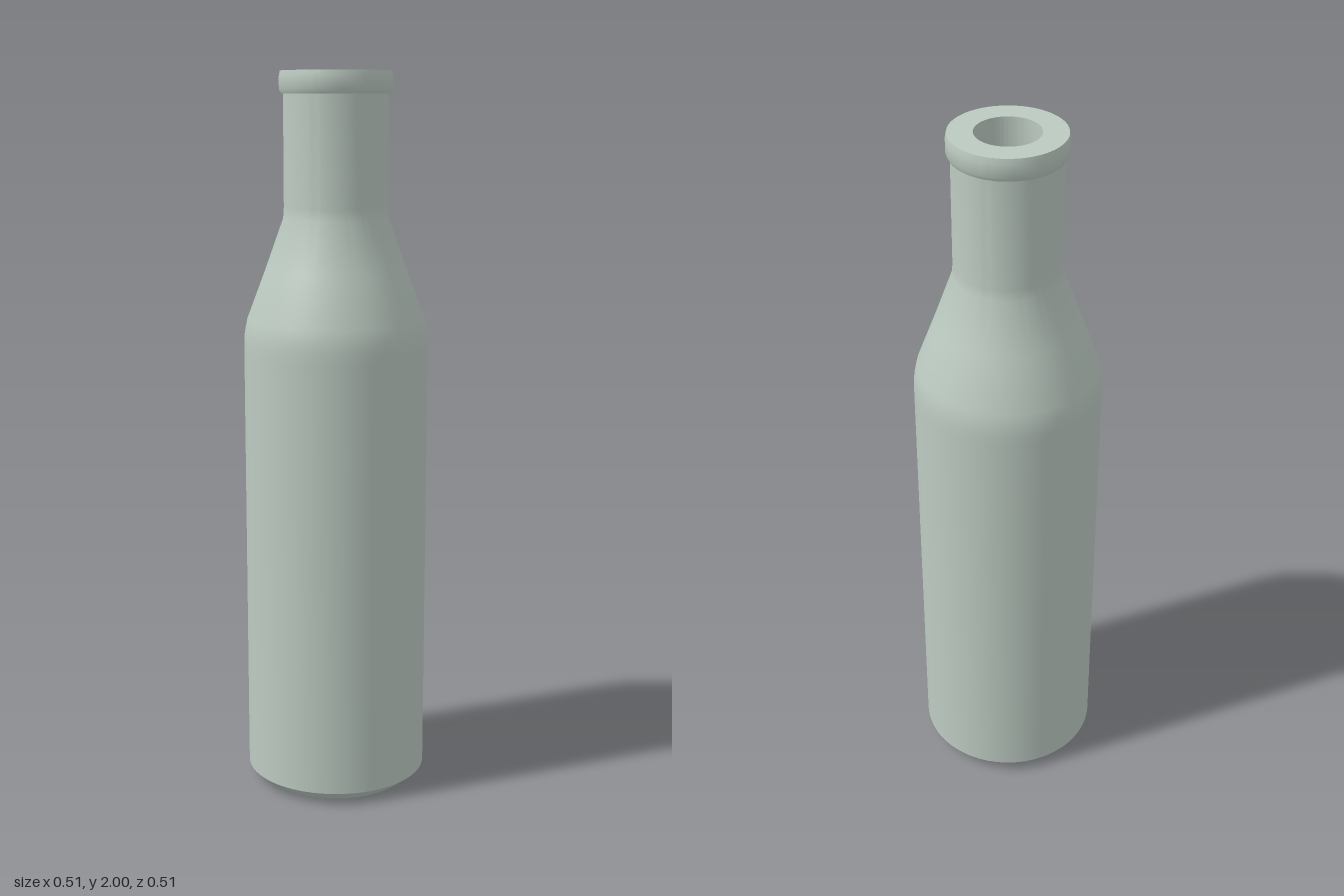
import * as THREE from 'three';
import { toCreasedNormals } from 'three/addons/utils/BufferGeometryUtils.js';

const glass = new THREE.MeshStandardMaterial({ color: 0xbccac1 });
glass.name = 'paleGreenGlass';

// Revolves a [radius, height] profile, keeping hard edges sharp
function revolve(name, profile) {
  const points = profile.map(([r, y]) => new THREE.Vector2(r, y));
  const geometry = toCreasedNormals(new THREE.LatheGeometry(points, 96), Math.PI / 6);
  const mesh = new THREE.Mesh(geometry, glass);
  mesh.name = name;
  return mesh;
}

export function createModel() {
  const group = new THREE.Group();
  group.name = 'bottle';

  // Outside: chamfered foot, straight body, sloping shoulder and neck
  group.add(revolve('outerWall', [
    [0.205, 0], [0.21, 0], [0.254, 0.035], [0.254, 1.24], [0.254, 1.27],
    [0.252, 1.3], [0.245, 1.335], [0.194, 1.47], [0.144, 1.61], [0.142, 1.64], [0.142, 1.94],
  ]));

  // Collar round the mouth, with a tapered underside and flat rim
  group.add(revolve('lip', [
    [0.142, 1.94], [0.147, 1.94], [0.153, 1.952], [0.153, 1.985], [0.15, 2], [0.085, 2],
  ]));

  // Inside of the thick wall, open at the mouth and at the foot
  group.add(revolve('innerWall', [
    [0.085, 2], [0.085, 1.61], [0.19, 1.33], [0.205, 1.27], [0.205, 0],
  ]));

  return group;
}
